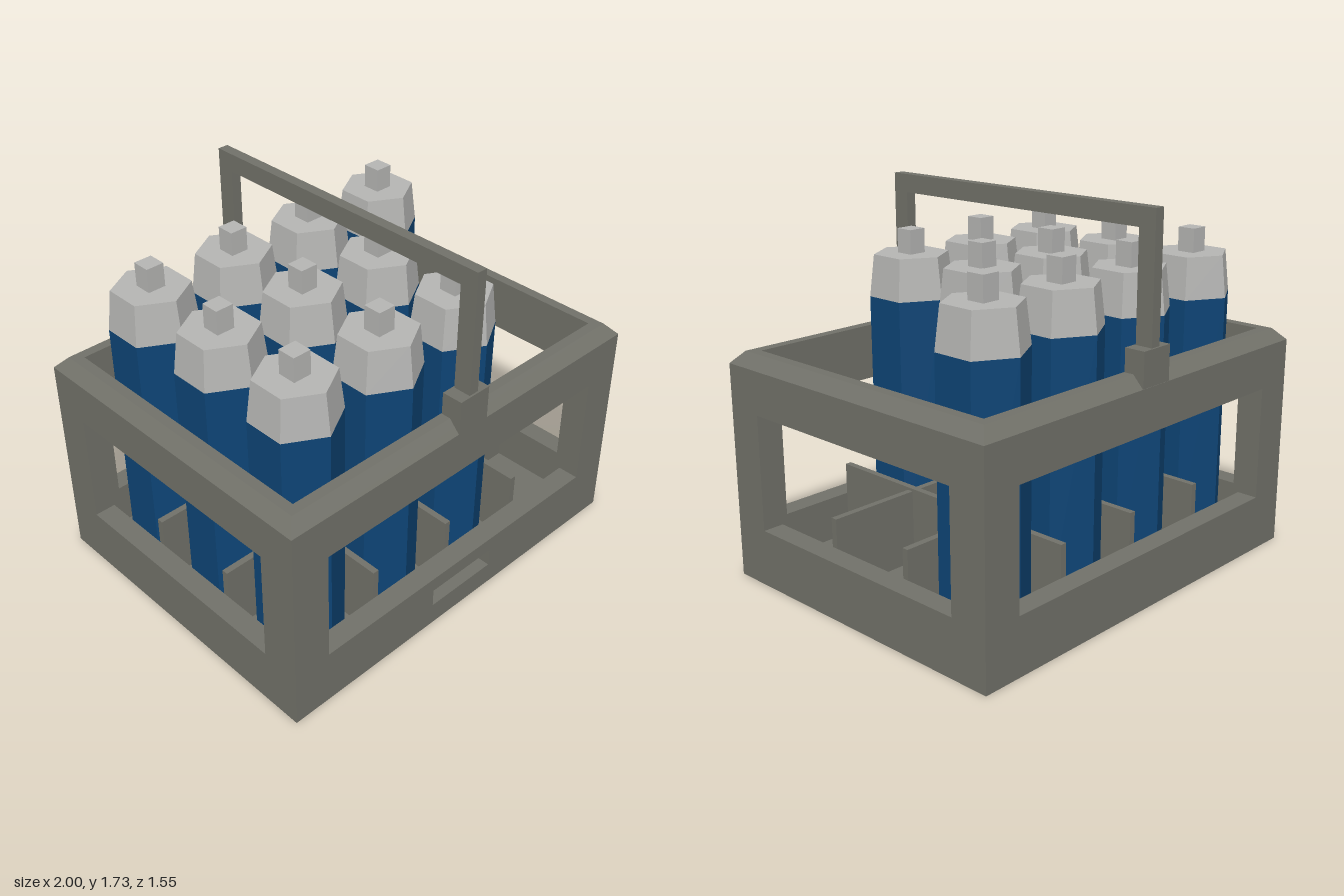
import * as THREE from 'three';

const W = 1, D = 0.775, T = 0.1, H = 1; // crate half width, half depth, wall thickness, wall height

export function createModel() {
  const crateGrey = new THREE.MeshStandardMaterial({ name: 'crate grey', color: 0x717169 });
  const bottleBlue = new THREE.MeshStandardMaterial({ name: 'bottle blue', color: 0x0d4475 });
  const capSilver = new THREE.MeshStandardMaterial({ name: 'cap silver', color: 0xb5b5b3 });
  for (const m of [crateGrey, bottleBlue, capSilver]) m.flatShading = true;

  const model = new THREE.Group();
  model.name = 'bottleCrate';

  const add = (name, geometry, material, parent = model) => {
    const mesh = new THREE.Mesh(geometry, material);
    mesh.name = name;
    parent.add(mesh);
    return mesh;
  };
  // Box given by its minimum and maximum corners
  const box = (name, [x0, y0, z0], [x1, y1, z1], material, parent) => {
    const mesh = add(name, new THREE.BoxGeometry(x1 - x0, y1 - y0, z1 - z0), material, parent);
    mesh.position.set((x0 + x1) / 2, (y0 + y1) / 2, (z0 + z1) / 2);
    return mesh;
  };
  const rect = (target, x0, y0, x1, y1) => {
    target.moveTo(x0, y0);
    target.lineTo(x1, y0);
    target.lineTo(x1, y1);
    target.lineTo(x0, y1);
    target.closePath();
    return target;
  };
  // Wall panel with rectangular openings
  const wall = (halfWidth, openings) => {
    const shape = rect(new THREE.Shape(), -halfWidth, 0, halfWidth, H);
    for (const o of openings) shape.holes.push(rect(new THREE.Path(), ...o));
    return new THREE.ExtrudeGeometry(shape, { depth: T, bevelEnabled: false });
  };

  // Crate walls; only the front has the small grip slot
  const longWindow = [-0.815, 0.265, 0.815, 0.8];
  const sideWindow = [-0.593, 0.265, 0.593, 0.8];
  const gripSlot = [-0.187, 0.107, 0.187, 0.195];
  add('frontWall', wall(W, [longWindow, gripSlot]), crateGrey).position.z = D - T;
  add('backWall', wall(W, [longWindow]), crateGrey).position.z = -D;
  for (const [name, x] of [['leftWall', W - T], ['rightWall', -W]]) {
    const side = add(name, wall(D - T, [sideWindow]), crateGrey);
    side.rotation.y = Math.PI / 2;
    side.position.x = x;
  }
  box('floor', [-W + T, 0, -D + T], [W - T, 0.06, D - T], crateGrey);

  // Chamfered rim, lofted through rectangular loops of [inset, height]
  const loops = [[0, H], [0.052, 1.055], [T, 1.055], [T, H]];
  const corners = [[1, 1], [1, -1], [-1, -1], [-1, 1]];
  const rimPoint = (l, c) => {
    const [inset, y] = loops[l], [sx, sz] = corners[c % 4];
    return [sx * (W - inset), y, sz * (D - inset)];
  };
  const points = [];
  for (let l = 0; l < loops.length - 1; l++) {
    for (let c = 0; c < 4; c++) {
      const a = rimPoint(l, c), b = rimPoint(l, c + 1);
      const d = rimPoint(l + 1, c), e = rimPoint(l + 1, c + 1);
      points.push(...a, ...b, ...e, ...a, ...e, ...d);
    }
  }
  const rim = new THREE.BufferGeometry();
  rim.setAttribute('position', new THREE.Float32BufferAttribute(points, 3));
  rim.computeVertexNormals();
  add('rim', rim, crateGrey);

  // Low dividers between the cells
  for (const x of [-0.448, 0, 0.448]) {
    box('lengthDivider', [x - 0.015, 0.06, -D + T], [x + 0.015, 0.412, D - T], crateGrey);
  }
  for (const z of [-0.225, 0.225]) {
    box('crossDivider', [-W + T, 0.06, z - 0.015], [W - T, 0.4, z + 0.015], crateGrey);
  }

  // Carrying handle and its brackets
  const handle = new THREE.Group();
  handle.name = 'handle';
  model.add(handle);
  box('handleBar', [-0.025, 1.645, -0.768], [0.025, 1.73, 0.768], crateGrey, handle);
  for (const s of [-1, 1]) {
    const z0 = Math.min(s * 0.685, s * 0.768), z1 = Math.max(s * 0.685, s * 0.768);
    box('handlePost', [-0.025, 1.1, z0], [0.025, 1.645, z1], crateGrey, handle);
    const b0 = Math.min(s * 0.678, s * 0.777), b1 = Math.max(s * 0.678, s * 0.777);
    box('handleBracket', [-0.085, 1.002, b0], [0.085, 1.16, b1], crateGrey, handle);
  }

  // Hexagonal bottles; two cells are left empty
  const bodyGeometry = new THREE.CylinderGeometry(0.194, 0.194, 1.17, 6);
  const shoulderGeometry = new THREE.CylinderGeometry(0.171, 0.194, 0.19, 6);
  const capGeometry = new THREE.BoxGeometry(0.085, 0.11, 0.085);
  for (const z of [-0.448, 0, 0.448]) {
    for (const x of [-0.673, -0.224, 0.22, 0.668]) {
      if (x > 0.5 && z > -0.2) continue;
      const bottle = new THREE.Group();
      bottle.name = 'bottle';
      bottle.position.set(x, 0, z);
      model.add(bottle);
      add('bottleBody', bodyGeometry, bottleBlue, bottle).position.y = 0.645;
      add('bottleShoulder', shoulderGeometry, capSilver, bottle).position.y = 1.325;
      add('bottleCap', capGeometry, capSilver, bottle).position.y = 1.475;
    }
  }
  return model;
}
